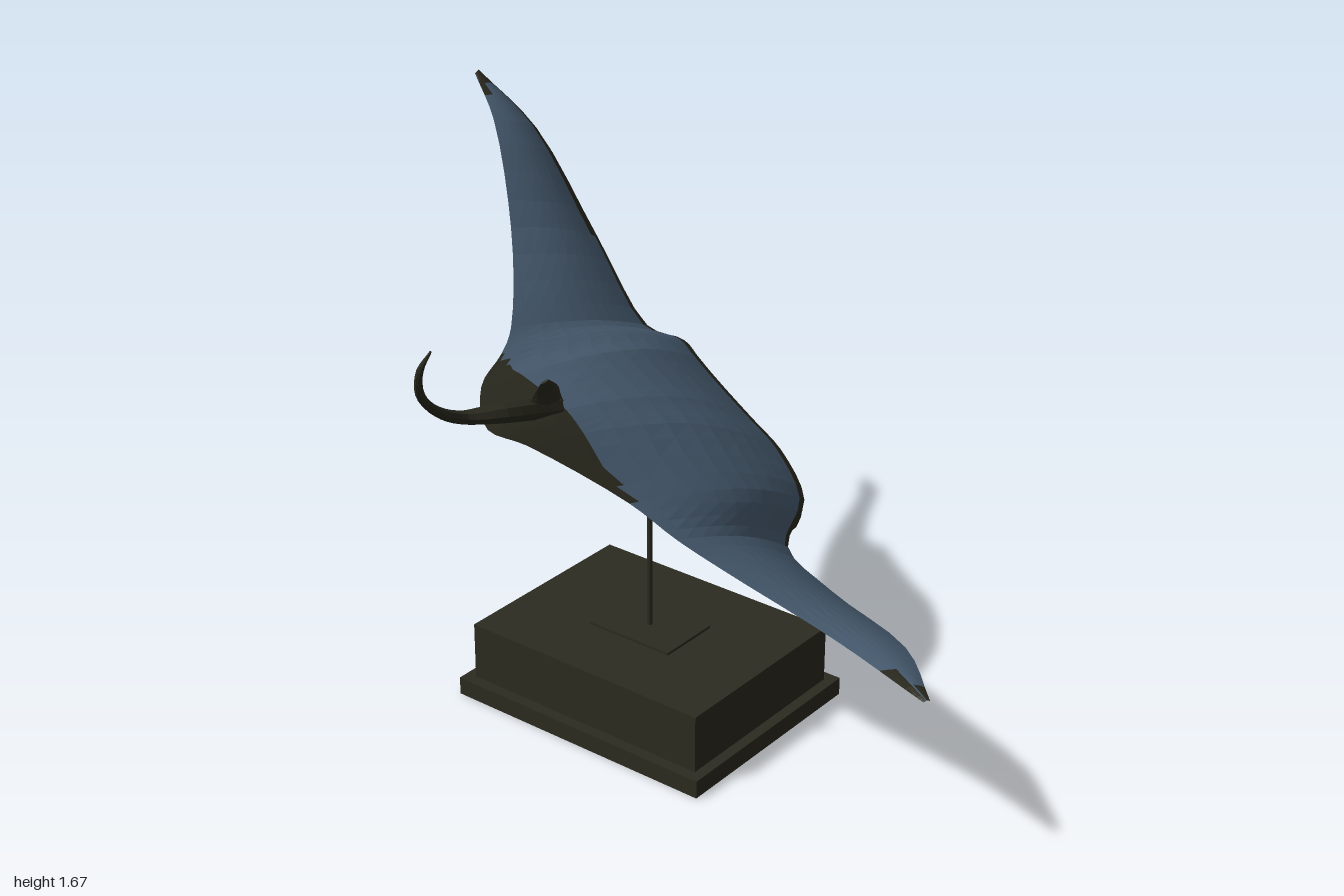
import * as THREE from 'three';

const slate = new THREE.MeshStandardMaterial({ color: 0x4a5f74 });
slate.name = 'slate blue skin';
const bronze = new THREE.MeshStandardMaterial({ color: 0x2c2b20 });
bronze.name = 'dark bronze';

const curveThrough = (points) => new THREE.CatmullRomCurve3(points.map((p) => new THREE.Vector3(...p)));

// Edges of the disc, from right wing tip over the tail or head to left wing tip
const trailing = curveThrough([
  [-0.13, 0.53, 0.985], [-0.09, 0.585, 0.68], [-0.13, 0.69, 0.36], [-0.17, 0.76, 0.22], [-0.22, 0.85, 0.1],
  [-0.4, 1.03, -0.1], [-0.47, 1.08, -0.17], [-0.36, 1.13, -0.29], [-0.2, 1.15, -0.36],
  [-0.08, 1.17, -0.43], [0.22, 1.31, -0.69], [0.38, 1.55, -0.89], [0.42, 1.66, -0.995],
]);
const leading = curveThrough([
  [-0.115, 0.53, 0.995], [0.1, 0.505, 0.78], [0.27, 0.475, 0.42], [0.34, 0.515, 0.22], [0.5, 0.575, 0.155],
  [0.59, 0.645, 0], [0.605, 0.705, -0.12], [0.64, 0.825, -0.34], [0.66, 0.87, -0.41],
  [0.55, 0.95, -0.46], [0.565, 1.18, -0.66], [0.53, 1.49, -0.86], [0.44, 1.665, -1],
]);
// Thickness above the chord, from the spine out to either wing tip
const domeHeights = [0.12, 0.108, 0.07, 0.035, 0.028, 0.017, 0.005];

function sample(values, q) {
  const k = Math.min(Math.floor(q), values.length - 2);
  return THREE.MathUtils.lerp(values[k], values[k + 1], q - k);
}

function facetMesh(name, points, material) {
  const g = new THREE.BufferGeometry().setFromPoints(points);
  g.computeVertexNormals();
  const m = new THREE.Mesh(g, material);
  m.name = name;
  return m;
}

const quad = (list, a, b, c, d) => list.push(a, b, c, a, c, d);

// Body and wings as one lofted skin, split by colour
function makeBody() {
  const rows = 48, cols = 16, tailCols = 5, tailX = -0.23;
  const mid = (u) => trailing.getPoint(u).add(leading.getPoint(u));
  const top = [], bottom = [];
  for (let i = 0; i <= rows; i++) {
    const u = i / rows;
    const T = trailing.getPoint(u), L = leading.getPoint(u);
    const span = mid(Math.min(1, u + 0.05)).sub(mid(Math.max(0, u - 0.05)));
    const up = L.clone().sub(T).cross(span).normalize();
    const height = sample(domeHeights, Math.abs(u - 0.5) * 12);
    // The first columns end on the border of the tail marking
    const border = Math.max(0.07, (tailX - T.x) / Math.max(0.1, L.x - T.x));
    const section = (h, bend) => Array.from({ length: cols + 1 }, (_, j) => {
      const t = j <= tailCols ? (border * j) / tailCols
        : 1 - (1 - border) * ((cols - j) / (cols - tailCols)) ** 1.3;
      return T.clone().lerp(L, t).addScaledVector(up, h * Math.sin(bend * Math.PI * t));
    });
    top.push(section(height, 0.92));
    bottom.push(section(-0.85 * height, 0.8));
  }
  const blue = [], edge = [], belly = [];
  for (let i = 0; i < rows; i++) {
    for (let j = 0; j < cols; j++) {
      const a = top[i][j], c = top[i + 1][j + 1];
      const z = (a.z + c.z) / 2;
      const tailRoot = j < tailCols && Math.min(a.x, top[i + 1][j].x) < tailX;
      const tip = (z > 0.84 && j < 8) || z > 0.96 || z < -0.95;
      const rim = (j === cols - 1 && i >= 12) || (j === cols - 2 && i >= 40);
      quad(tailRoot || tip || rim ? edge : blue, a, top[i][j + 1], c, top[i + 1][j]);
      quad(belly, bottom[i][j], bottom[i + 1][j], bottom[i + 1][j + 1], bottom[i][j + 1]);
    }
    quad(edge, top[i][cols], bottom[i][cols], bottom[i + 1][cols], top[i + 1][cols]);
  }
  const g = new THREE.Group();
  g.name = 'bodyAndWings';
  g.add(facetMesh('upperSkin', blue, slate), facetMesh('darkMarkings', edge, bronze),
    facetMesh('underside', belly, bronze));
  return g;
}

// Tapered elliptical sweep: path points, half widths, flatness, wide direction
function sweep(name, path, widths, flat, wide, steps = 14, sides = 10) {
  const curve = curveThrough(path);
  const wideDir = new THREE.Vector3(...wide);
  const rings = [], pts = [];
  for (let i = 0; i <= steps; i++) {
    const u = i / steps;
    const r = sample(widths, u * (widths.length - 1));
    const tan = curve.getTangent(u), p = curve.getPoint(u);
    const thin = tan.clone().cross(wideDir).normalize();
    const broad = thin.clone().cross(tan);
    rings.push(Array.from({ length: sides }, (_, j) => {
      const a = (j / sides) * Math.PI * 2;
      return p.clone().addScaledVector(broad, r * Math.cos(a)).addScaledVector(thin, r * flat * Math.sin(a));
    }));
  }
  for (let i = 0; i < steps; i++) {
    for (let j = 0; j < sides; j++) {
      const m = (j + 1) % sides;
      quad(pts, rings[i][j], rings[i][m], rings[i + 1][m], rings[i + 1][j]);
    }
  }
  // End caps
  for (let j = 1; j < sides - 1; j++) {
    pts.push(rings[0][0], rings[0][j + 1], rings[0][j]);
    pts.push(rings[steps][0], rings[steps][j], rings[steps][j + 1]);
  }
  return facetMesh(name, pts, bronze);
}

// Hollow rectangular frame lying flat
function frame(name, w, d, holeW, holeD, y, h) {
  const rect = (s, a, b) => s.moveTo(-a / 2, -b / 2).lineTo(a / 2, -b / 2).lineTo(a / 2, b / 2).lineTo(-a / 2, b / 2).closePath();
  const shape = rect(new THREE.Shape(), w, d);
  shape.holes.push(rect(new THREE.Path(), holeW, holeD));
  const g = new THREE.ExtrudeGeometry(shape, { depth: h, bevelEnabled: false }).rotateX(-Math.PI / 2);
  const m = new THREE.Mesh(g, bronze);
  m.position.y = y;
  m.name = name;
  return m;
}

function makeStand() {
  const stand = new THREE.Group();
  stand.name = 'stand';
  const add = (name, g, y) => {
    const m = new THREE.Mesh(g, bronze);
    m.name = name;
    m.position.y = y;
    stand.add(m);
  };
  stand.add(frame('plinthFoot', 0.695, 0.88, 0.57, 0.755, 0, 0.055));
  stand.add(frame('plinthWalls', 0.625, 0.815, 0.55, 0.735, 0.055, 0.155));
  add('plinthTop', new THREE.BoxGeometry(0.625, 0.022, 0.815), 0.221);
  add('mountPlate', new THREE.BoxGeometry(0.2, 0.008, 0.29), 0.236);
  add('rod', new THREE.CylinderGeometry(0.008, 0.008, 0.6, 12), 0.54);
  stand.position.set(0.1375, 0, -0.115);
  return stand;
}

export function createModel() {
  const model = new THREE.Group();
  model.name = 'rayOnStand';
  model.add(makeBody(), makeStand());
  // Curled head fins
  model.add(sweep('leftHeadFin',
    [[0.57, 0.86, -0.41], [0.65, 0.815, -0.415], [0.705, 0.745, -0.405], [0.73, 0.66, -0.37], [0.72, 0.585, -0.3]],
    [0.05, 0.06, 0.052, 0.042, 0.015], 0.7, [-0.6, -0.3, 0.7]));
  model.add(sweep('rightHeadFin',
    [[0.36, 0.525, 0.15], [0.48, 0.525, 0.125], [0.57, 0.485, 0.06], [0.63, 0.465, -0.02], [0.68, 0.48, -0.1]],
    [0.025, 0.055, 0.048, 0.036, 0.012], 0.65, [0.2, 1, 0.3]));
  // Tail and the small fin at its root
  model.add(sweep('tail',
    [[-0.22, 1.06, -0.16], [-0.42, 1.11, -0.17], [-0.53, 1.13, -0.2], [-0.63, 1.185, -0.195],
      [-0.72, 1.275, -0.165], [-0.752, 1.36, -0.13], [-0.747, 1.42, -0.095]],
    [0.04, 0.034, 0.022, 0.016, 0.013, 0.01, 0.003], 0.85, [0, 0, 1], 24, 8));
  model.add(sweep('dorsalFin',
    [[-0.27, 1.06, -0.16], [-0.28, 1.12, -0.14], [-0.305, 1.175, -0.115]],
    [0.08, 0.05, 0.012], 0.28, [1, -0.3, 0], 8, 8));
  return model;
}
